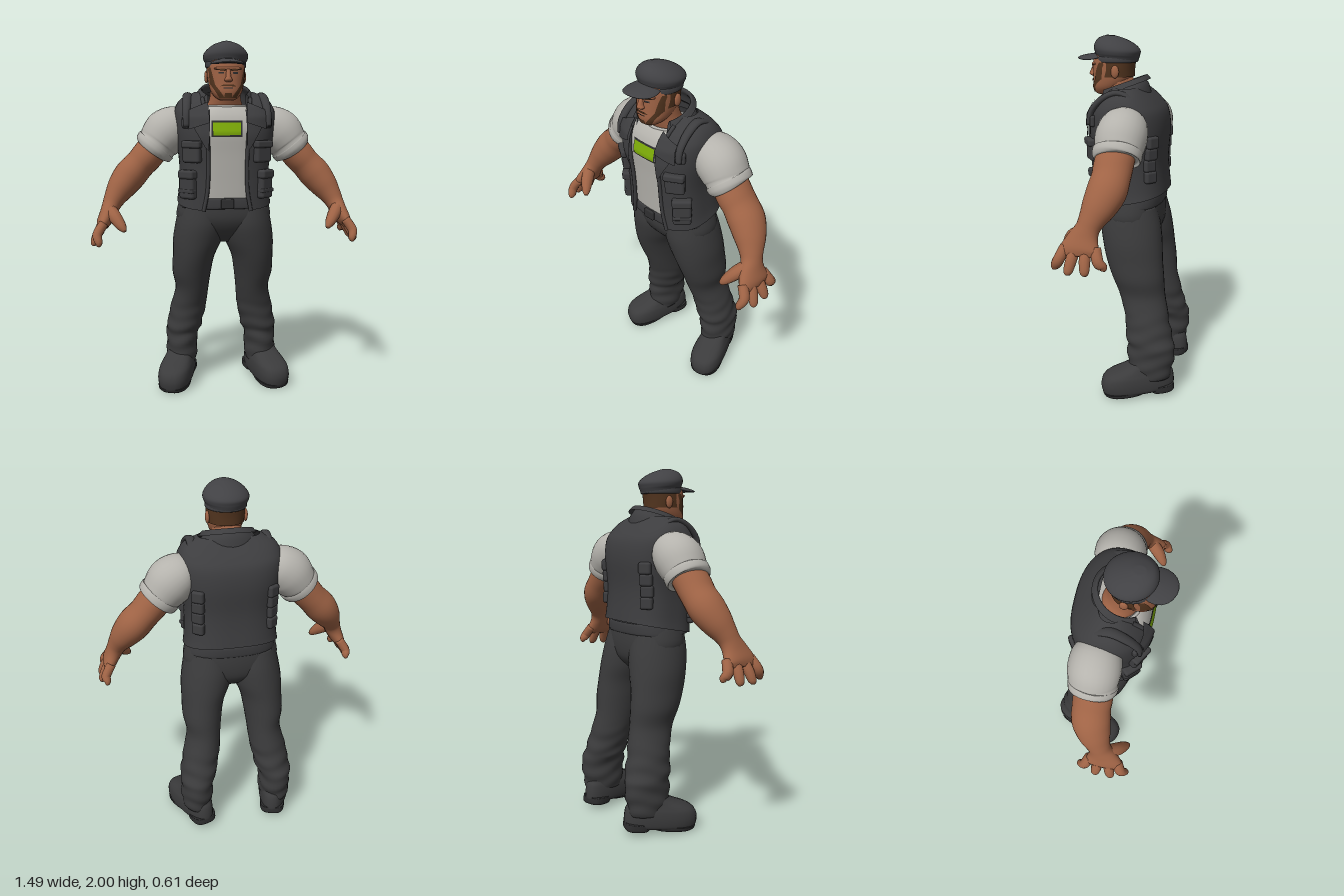
import * as THREE from 'three';
import { mergeVertices } from 'three/addons/utils/BufferGeometryUtils.js';
import { RoundedBoxGeometry } from 'three/addons/geometries/RoundedBoxGeometry.js';

const V3 = (x, y, z) => new THREE.Vector3(x, y, z);
const N = 2.6; // squareness of the torso rings

// smooth in-between sections; each section is [x, y, z, halfWidth, halfDepth, frontGap]
function refine(secs, steps) {
  const out = [], at = (i) => secs[Math.min(Math.max(i, 0), secs.length - 1)];
  for (let i = 0; i < secs.length - 1; i++) {
    for (let k = 0; k < steps; k++) {
      const t = k / steps;
      out.push(secs[i].map((b, c) => {
        const a = at(i - 1)[c], d = at(i + 1)[c], e = at(i + 2)[c];
        return 0.5 * (2 * b + (d - a) * t + (2 * a - 5 * b + 4 * d - e) * t * t + (3 * b - a - 3 * d + e) * t * t * t);
      }));
    }
  }
  out.push(at(secs.length));
  return out;
}

// skin over rings; flat rings stay level (sections go upward), others follow the path
function loft(secs, { n = 2, seg = 28, steps = 4, flat = true, ref = V3(0, 0, 1), warp } = {}) {
  const rings = refine(secs, steps), open = secs[0].length > 5, cols = open ? seg + 1 : seg;
  const pos = [], idx = [], centre = (r) => V3(r[0], r[1], r[2]);
  rings.forEach((r, i) => {
    const c = centre(r);
    const t = flat ? V3(0, 1, 0) : centre(rings[Math.min(i + 1, rings.length - 1)]).sub(centre(rings[Math.max(i - 1, 0)])).normalize();
    const u = ref.clone().addScaledVector(t, -ref.dot(t)).normalize(), a = t.clone().cross(u);
    const g = open ? Math.acos(Math.pow(Math.min(Math.max(r[5], 0) / r[3], 1), n / 2)) : 0;
    for (let j = 0; j < cols; j++) {
      const th = open ? Math.PI - g + (j / seg) * (Math.PI + 2 * g) : (j / seg) * Math.PI * 2;
      const co = Math.cos(th), si = Math.sin(th);
      const p = c.clone().addScaledVector(a, r[3] * Math.sign(co) * Math.pow(Math.abs(co), 2 / n))
        .addScaledVector(u, r[4] * Math.sign(si) * Math.pow(Math.abs(si), 2 / n));
      if (warp) warp(p, th, c);
      pos.push(p.x, p.y, p.z);
    }
  });
  for (let i = 0; i < rings.length - 1; i++) {
    for (let j = 0; j < seg; j++) {
      const k = (j + 1) % cols, p = i * cols, q = p + cols;
      idx.push(p + j, q + j, p + k, q + j, q + k, p + k);
    }
  }
  if (!open) {
    const last = (rings.length - 1) * cols, c0 = pos.length / 3;
    pos.push(...rings[0].slice(0, 3), ...rings[rings.length - 1].slice(0, 3));
    for (let j = 0; j < seg; j++) {
      const k = (j + 1) % seg;
      idx.push(c0, j, k, c0 + 1, last + k, last + j);
    }
  }
  const geo = new THREE.BufferGeometry();
  geo.setAttribute('position', new THREE.Float32BufferAttribute(pos, 3));
  geo.setIndex(idx);
  geo.computeVertexNormals();
  return geo;
}

// section values at a height, and the depth of the surface at x, y
function sectionAt(S, y) {
  let i = 0;
  while (i < S.length - 2 && S[i + 1][1] < y) i++;
  const t = (y - S[i][1]) / (S[i + 1][1] - S[i][1]);
  return S[i].map((v, c) => v + (S[i + 1][c] - v) * t);
}
function surf(S, x, y, side = 1, n = N) {
  const s = sectionAt(S, y);
  return s[2] + side * s[4] * Math.pow(Math.max(0, 1 - Math.pow(Math.abs(x / s[3]), n)), 1 / n);
}

// thin four-cornered patch laid on the front of a lofted surface
function patch(S, [bl, br, tr, tl], lift, n = N) {
  const g = new THREE.PlaneGeometry(1, 1, 8, 8), p = g.attributes.position;
  for (let i = 0; i < p.count; i++) {
    const u = p.getX(i) + 0.5, v = p.getY(i) + 0.5;
    const [x, y] = [0, 1].map((c) => (bl[c] * (1 - u) + br[c] * u) * (1 - v) + (tl[c] * (1 - u) + tr[c] * u) * v);
    p.setXYZ(i, x, y, surf(S, x, y, 1, n) + lift);
  }
  g.computeVertexNormals();
  return g;
}
const rect = (x, y, w, h) => [[x - w / 2, y - h / 2], [x + w / 2, y - h / 2], [x + w / 2, y + h / 2], [x - w / 2, y + h / 2]];
const ball = (x, y, z, rx, ry, rz) => new THREE.SphereGeometry(1, 20, 14).scale(rx, ry, rz).translate(x, y, z);

function flip(g) {
  const c = g.index ? g.clone() : mergeVertices(g);
  c.scale(-1, 1, 1);
  const a = c.index.array;
  for (let i = 0; i < a.length; i += 3) [a[i], a[i + 1]] = [a[i + 1], a[i]];
  return c;
}

export function createModel() {
  const root = new THREE.Group();
  root.name = 'man';
  const mat = (name, color, side = THREE.FrontSide) => Object.assign(new THREE.MeshStandardMaterial({ color, side }), { name });
  const skin = mat('skin', 0x9f6345), hair = mat('hair', 0x53351f, THREE.DoubleSide), shirtMat = mat('shirtGrey', 0xb5b3ad);
  const vestMat = mat('vestDark', 0x3d3d3f, THREE.DoubleSide), pantsMat = mat('trouserDark', 0x3b3b3c), capMat = mat('capDark', 0x414144);
  const soleMat = mat('soleBlack', 0x2c2c2d), green = mat('badgeGreen', 0x7fae08), trim = mat('trimDark', 0x2f2f30);
  const add = (name, geo, m) => {
    const mesh = new THREE.Mesh(geo, m);
    mesh.name = name;
    root.add(mesh);
  };
  const pair = (name, geo, m) => {
    add(name + 'Left', geo, m);
    add(name + 'Right', flip(geo), m);
  };

  // trousers, with folds gathering at the shins
  add('trouserSeat', loft([[0, 0.89, -0.04, 0.09, 0.07], [0, 0.95, -0.03, 0.2, 0.135], [0, 1.03, -0.015, 0.268, 0.165],
    [0, 1.12, -0.01, 0.258, 0.165], [0, 1.17, 0, 0.24, 0.16]], { n: 2.3 }), pantsMat);
  const folds = (p, th, c) => {
    const k = Math.max(0, Math.min(1, (0.55 - p.y) / 0.2)) * 0.03;
    const s = 1 + k * (Math.sin(p.y * 70 + 1.6 * Math.sin(th * 2) + th) + 0.8 * Math.sin(p.y * 43 - 2 * th));
    p.x = c.x + (p.x - c.x) * s;
    p.z = c.z + (p.z - c.z) * s;
  };
  pair('trouserLeg', loft([[0.24, 0.12, -0.16, 0.085, 0.115], [0.24, 0.2, -0.165, 0.092, 0.13], [0.237, 0.3, -0.165, 0.095, 0.135],
    [0.225, 0.35, -0.155, 0.104, 0.134], [0.212, 0.42, -0.14, 0.106, 0.126], [0.196, 0.5, -0.125, 0.104, 0.126],
    [0.18, 0.6, -0.098, 0.098, 0.132], [0.182, 0.7, -0.075, 0.113, 0.148], [0.172, 0.8, -0.052, 0.122, 0.16],
    [0.15, 0.9, -0.035, 0.142, 0.168], [0.132, 1, -0.02, 0.145, 0.168], [0.125, 1.1, -0.01, 0.13, 0.15]], { steps: 6, warp: folds }), pantsMat);

  // boots, toes turned out, heels slightly raised
  const place = (g) => g.rotateX(0.09).rotateY(0.32).translate(0.262, 0.022, -0.1);
  const toe = (p) => { p.x *= 1 + p.z * 0.9; };
  pair('boot', place(loft([[0, 0.012, 0.002, 0.08, 0.2], [0, 0.03, 0, 0.09, 0.208], [0, 0.07, 0, 0.094, 0.21], [0, 0.11, -0.006, 0.091, 0.2],
    [0, 0.135, -0.02, 0.084, 0.175], [0, 0.16, -0.055, 0.078, 0.135], [0, 0.19, -0.09, 0.076, 0.106], [0, 0.23, -0.1, 0.074, 0.1]],
  { n: 2.5, warp: toe })), pantsMat);
  pair('bootSole', place(loft([[0, -0.002, 0.07, 0.076, 0.122], [0, 0.008, 0.07, 0.084, 0.132], [0, 0.025, 0.07, 0.086, 0.136]], { n: 2.4, warp: toe })), soleMat);
  pair('bootHeel', place(loft([[0, -0.004, -0.135, 0.078, 0.066], [0, 0.008, -0.135, 0.084, 0.072], [0, 0.04, -0.13, 0.084, 0.075]], { n: 3, warp: toe })), soleMat);

  // torso: shirt beneath an open vest
  const vest = [[0, 1.13, -0.005, 0.265, 0.2, 0.13], [0, 1.2, 0, 0.256, 0.2, 0.11], [0, 1.35, 0.01, 0.253, 0.2, 0.105],
    [0, 1.5, 0.012, 0.276, 0.21, 0.11], [0, 1.6, 0.012, 0.284, 0.195, 0.12], [0, 1.655, 0.015, 0.272, 0.16, 0.125],
    [0, 1.7, 0.018, 0.238, 0.115, 0.13], [0, 1.735, 0.02, 0.165, 0.075, 0.125]];
  const shirt = [[0, 1.15, 0, 0.235, 0.175], [0, 1.25, 0.005, 0.235, 0.18], [0, 1.4, 0.01, 0.24, 0.188], [0, 1.52, 0.012, 0.255, 0.198],
    [0, 1.59, 0.015, 0.24, 0.18], [0, 1.63, 0.035, 0.18, 0.14], [0, 1.655, 0.055, 0.115, 0.1]];
  const hem = (p) => { p.y -= 0.2 * p.z * Math.max(0, 1 - (p.y - 1.13) / 0.12); };
  add('shirt', loft(shirt, { n: N, seg: 40, warp: hem }), shirtMat);
  add('shirtNeckband', new THREE.TorusGeometry(1, 0.08, 8, 24, Math.PI).rotateX(Math.PI / 2).scale(0.115, 0.12, 0.1).translate(0, 1.655, 0.05), shirtMat);
  add('vest', loft(vest, { n: N, seg: 48, warp: hem }), vestMat);
  add('belt', loft([[0, 1.1, 0, 0.25, 0.172], [0, 1.105, 0, 0.255, 0.182], [0, 1.155, 0, 0.248, 0.184], [0, 1.16, 0, 0.243, 0.174]], { n: N }), vestMat);
  add('beltBuckle', new RoundedBoxGeometry(0.07, 0.055, 0.02, 2, 0.008).translate(0, 1.13, 0.187), trim);
  const edge = vest.slice(0, 7).map((s) => V3(s[5], s[1] - (s[1] < 1.14 ? 0.04 : 0), surf(vest, s[5], s[1])));
  pair('vestEdge', new THREE.TubeGeometry(new THREE.CatmullRomCurve3(edge), 32, 0.011, 8), vestMat);
  pair('lapel', patch(vest, [[0.105, 1.42], [0.125, 1.44], [0.215, 1.6], [0.095, 1.64]], 0.018), vestMat);
  pair('lapelTip', patch(vest, [[0.1, 1.57], [0.21, 1.535], [0.205, 1.64], [0.105, 1.68]], 0.028), vestMat);
  add('collar', loft([[0, 1.64, 0.045, 0.18, 0.15, 0.11], [0, 1.69, 0.05, 0.158, 0.137, 0.105], [0, 1.735, 0.06, 0.128, 0.124, 0.1],
    [0, 1.75, 0.06, 0.134, 0.132, 0.11], [0, 1.72, 0.052, 0.157, 0.146, 0.125]],
  { warp: (p) => { p.y -= 0.36 * (p.z - 0.055) * Math.min(1, (p.y - 1.6) / 0.1); } }), vestMat);

  // pouches sit square on the vest surface
  const pouch = (name, x, y, side, w, h, d, m = vestMat) => {
    const s = sectionAt(vest, y), z = surf(vest, x, y, side);
    const nx = Math.pow(Math.abs(x / s[3]), N - 1) / s[3], nz = side * Math.pow(Math.abs((z - s[2]) / s[4]), N - 1) / s[4];
    pair(name, new RoundedBoxGeometry(w, h, d, 2, Math.min(d, h) * 0.3).rotateY(Math.atan2(nx, nz)).translate(x, y, z), m);
  };
  pouch('chestPouch', 0.19, 1.41, 1, 0.105, 0.11, 0.05);
  pouch('chestPouchFlap', 0.19, 1.455, 1, 0.112, 0.04, 0.064);
  pouch('hipPouch', 0.21, 1.23, 1, 0.1, 0.15, 0.055);
  pouch('hipPouchFlap', 0.21, 1.29, 1, 0.106, 0.05, 0.07);
  pouch('hipPouchStrap', 0.21, 1.2, 1, 0.104, 0.022, 0.062);
  for (let i = 0; i < 4; i++) pouch('backPouch' + i, 0.2, 1.28 + i * 0.062, -1, 0.07, 0.066, 0.045);
  pair('shoulderStrap', loft([[0.222, 1.55, 0.185, 0.012, 0.018], [0.22, 1.62, 0.172, 0.016, 0.02], [0.214, 1.685, 0.115, 0.018, 0.024],
    [0.205, 1.718, 0.035, 0.016, 0.026], [0.205, 1.69, -0.045, 0.01, 0.022]], { flat: false, ref: V3(1, 0, 0), seg: 14 }), vestMat);
  pouch('shoulderBuckle', 0.22, 1.57, 1, 0.045, 0.06, 0.04);

  // chest badge
  add('badgeBorder', patch(shirt, rect(-0.005, 1.538, 0.166, 0.086), 0.006), trim);
  add('badge', patch(shirt, rect(-0.005, 1.538, 0.15, 0.068), 0.009), green);

  // arms
  pair('sleeve', loft([[0.2, 1.575, -0.02, 0.06, 0.08], [0.25, 1.56, -0.02, 0.108, 0.12], [0.315, 1.518, -0.02, 0.13, 0.135],
    [0.36, 1.467, -0.018, 0.12, 0.13], [0.375, 1.448, -0.016, 0.112, 0.124], [0.38, 1.442, -0.016, 0.119, 0.129],
    [0.4, 1.418, -0.014, 0.114, 0.126], [0.404, 1.413, -0.014, 0.096, 0.11]], { flat: false }), shirtMat);
  pair('arm', loft([[0.36, 1.47, -0.015, 0.088, 0.1], [0.43, 1.385, -0.008, 0.089, 0.102], [0.475, 1.335, -0.008, 0.085, 0.1], [0.53, 1.275, 0, 0.09, 0.102],
    [0.58, 1.21, 0.025, 0.078, 0.088], [0.615, 1.155, 0.05, 0.06, 0.068], [0.635, 1.115, 0.066, 0.05, 0.062], [0.655, 1.07, 0.082, 0.044, 0.08],
    [0.68, 1.02, 0.092, 0.037, 0.102], [0.695, 0.99, 0.093, 0.02, 0.09]], { flat: false }), skin);
  const fingers = [['pinky', 0.015, 0.702, 0.932, -0.03], ['ringFinger', 0.065, 0.728, 0.908, 0.055], ['middleFinger', 0.118, 0.728, 0.905, 0.138], ['indexFinger', 0.168, 0.698, 0.915, 0.214]];
  fingers.forEach(([name, z, x, y, tz]) => pair(name, loft([[0.672, 1.03, z, 0.026, 0.028], [0.706, 0.975, (z + tz) / 2, 0.026, 0.029],
    [x, y + 0.018, tz, 0.02, 0.024], [x + 0.003, y, tz, 0.009, 0.012]], { flat: false, seg: 12 }), skin));
  pair('thumb', loft([[0.645, 1.1, 0.1, 0.036, 0.036], [0.61, 1.06, 0.15, 0.038, 0.036], [0.575, 1.015, 0.19, 0.026, 0.026],
    [0.558, 0.992, 0.207, 0.011, 0.011]], { flat: false, seg: 12, ref: V3(1, 0, 0) }), skin);

  // head
  const head = [[0, 1.688, 0.17, 0.035, 0.03], [0, 1.7, 0.155, 0.058, 0.058], [0, 1.73, 0.135, 0.082, 0.087], [0, 1.775, 0.115, 0.095, 0.106],
    [0, 1.83, 0.11, 0.1, 0.11], [0, 1.88, 0.105, 0.1, 0.112], [0, 1.93, 0.1, 0.085, 0.09]];
  add('neck', loft([[0, 1.58, 0.03, 0.12, 0.1], [0, 1.65, 0.045, 0.103, 0.095], [0, 1.7, 0.07, 0.086, 0.088], [0, 1.78, 0.09, 0.08, 0.085]]), skin);
  add('head', loft(head, { n: 2.2 }), skin);
  add('hair', loft([[0, 1.785, 0.108, 0.099, 0.112, 0.097], [0, 1.83, 0.104, 0.103, 0.11, 0.102], [0, 1.89, 0.1, 0.104, 0.114, 0.102]], { n: 2.2 }), hair);
  pair('beard', patch(head, [[0.018, 1.7], [0.046, 1.7], [0.092, 1.775], [0.068, 1.768]], 0.005, 2.2), hair);
  pair('sideburn', patch(head, [[0.068, 1.767], [0.092, 1.775], [0.099, 1.86], [0.09, 1.86]], 0.005, 2.2), hair);
  add('nose', loft([[0, 1.782, 0.222, 0.012, 0.01], [0, 1.792, 0.227, 0.022, 0.02], [0, 1.81, 0.225, 0.014, 0.018], [0, 1.85, 0.216, 0.01, 0.008]], { seg: 14 }), skin);
  add('brow', ball(0, 1.852, 0.2, 0.075, 0.012, 0.025), skin);
  pair('eyebrow', patch(head, [[0.015, 1.838], [0.065, 1.845], [0.065, 1.855], [0.015, 1.849]], 0.009, 2.2), hair);
  pair('eye', patch(head, rect(0.037, 1.829, 0.028, 0.009), 0.005, 2.2), trim);
  pair('ear', ball(0.103, 1.815, 0.075, 0.012, 0.034, 0.022), skin);
  add('moustache', patch(head, [[-0.042, 1.76], [0.042, 1.76], [0.026, 1.77], [-0.026, 1.77]], 0.005, 2.2), hair);
  add('mouth', patch(head, rect(0, 1.75, 0.05, 0.005), 0.005, 2.2), trim);
  add('goatee', patch(head, [[-0.022, 1.7], [0.022, 1.7], [0.018, 1.724], [-0.018, 1.724]], 0.005, 2.2), hair);

  // flat cap
  const lean = (p) => { p.y += 0.06 * (p.z - 0.09); };
  add('capCrown', loft([[0, 1.868, 0.09, 0.106, 0.112], [0, 1.89, 0.088, 0.112, 0.118], [0, 1.905, 0.088, 0.12, 0.122], [0, 1.928, 0.09, 0.122, 0.126],
    [0, 1.955, 0.1, 0.104, 0.11], [0, 1.98, 0.115, 0.068, 0.075], [0, 1.996, 0.125, 0.02, 0.025]], { warp: lean, seg: 36 }), capMat);
  add('capBand', loft([[0, 1.86, 0.093, 0.104, 0.112], [0, 1.866, 0.093, 0.111, 0.118], [0, 1.888, 0.093, 0.111, 0.118], [0, 1.894, 0.093, 0.104, 0.112]]), capMat);
  const brim = ball(0, 0, 0, 0.095, 0.013, 0.095).rotateX(0.12), bp = brim.attributes.position;
  for (let i = 0; i < bp.count; i++) bp.setY(i, bp.getY(i) - 1.8 * bp.getX(i) ** 2);
  brim.computeVertexNormals();
  add('capBrim', brim.translate(0, 1.892, 0.215), capMat);

  return root;
}
